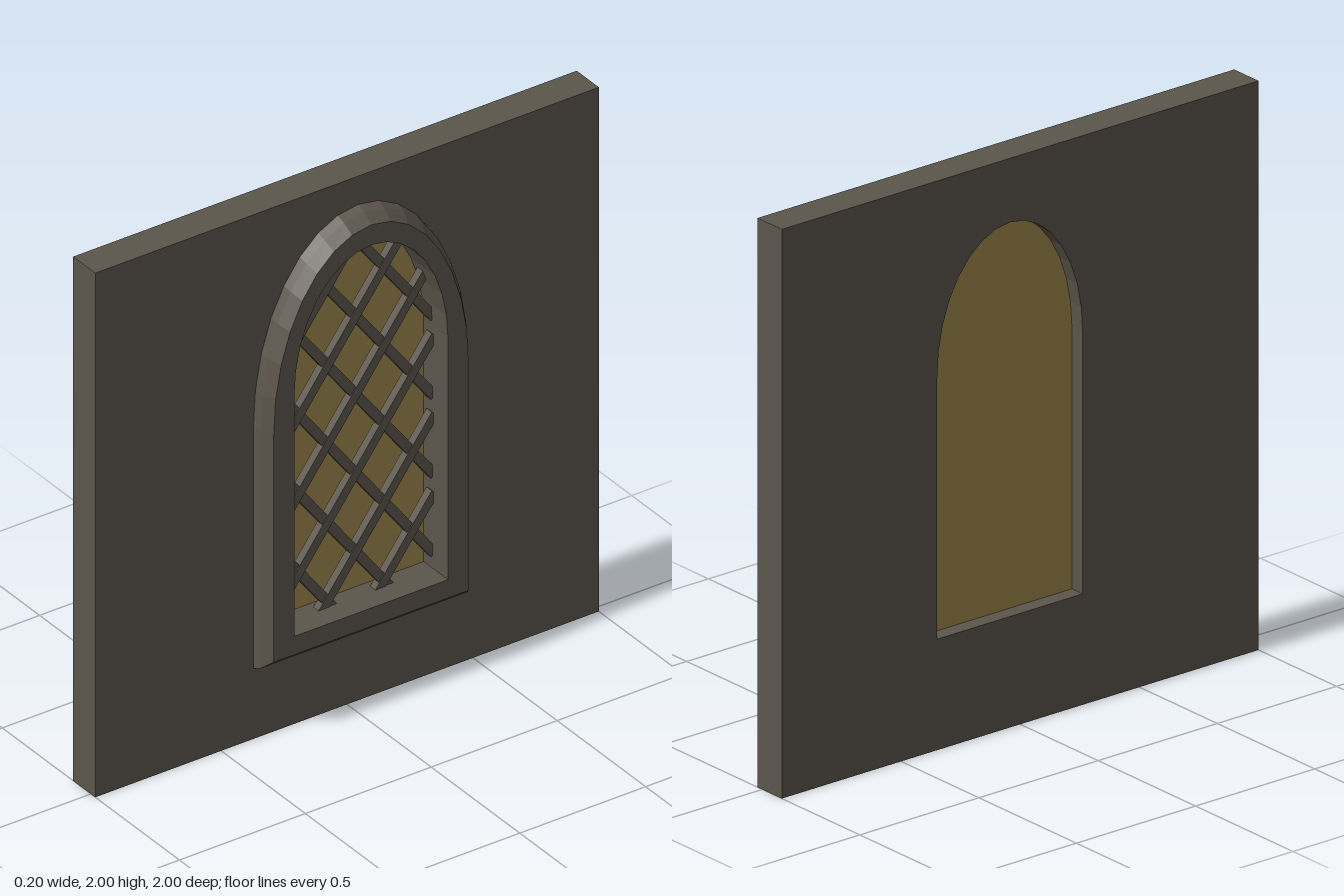
import * as THREE from 'three';

const CENTER = 0.043; // window axis, measured along -z
const WALL_BACK = -0.1, WALL_FRONT = 0.025, FRAME_FRONT = 0.1;
const ARC = 16;

// Closed counter-clockwise arch outline: straight jambs with an elliptical head
function arch(half, bottom, spring, top) {
  const pts = [new THREE.Vector2(CENTER - half, bottom), new THREE.Vector2(CENTER + half, bottom)];
  for (let i = 0; i <= ARC; i++) {
    const a = (Math.PI * i) / ARC;
    pts.push(new THREE.Vector2(CENTER + half * Math.cos(a), spring + (top - spring) * Math.sin(a)));
  }
  return pts;
}

const OPENING = { half: 0.305, bottom: 0.39, spring: 1.31, top: 1.775 };
const opening = arch(OPENING.half, OPENING.bottom, OPENING.spring, OPENING.top);

function insideOpening(u, v) {
  const { half, bottom, spring, top } = OPENING;
  const d = (u - CENTER) / half;
  if (v < bottom || Math.abs(d) > 1) return false;
  return v <= spring || d * d + ((v - spring) / (top - spring)) ** 2 <= 1;
}

// Skins consecutive outlines, each placed at its own depth
function loft(rings) {
  const pos = [], index = [], n = rings[0].pts.length;
  rings.forEach(({ pts, w }) => pts.forEach((p) => pos.push(p.x, p.y, w)));
  for (let r = 0; r < rings.length - 1; r++) {
    for (let j = 0; j < n; j++) {
      const a = r * n + j, b = r * n + ((j + 1) % n);
      index.push(a, b, b + n, a, b + n, a + n);
    }
  }
  const g = new THREE.BufferGeometry();
  g.setAttribute('position', new THREE.Float32BufferAttribute(pos, 3));
  g.setIndex(index);
  g.computeVertexNormals();
  return g;
}

export function createModel() {
  const stone = new THREE.MeshStandardMaterial({ color: 0x5c564c, flatShading: true });
  stone.name = 'stone';
  const amber = new THREE.MeshStandardMaterial({ color: 0xa0884c, flatShading: true });
  amber.name = 'amberGlass';

  const model = new THREE.Group();
  model.name = 'archedWindowWall';
  // Everything is drawn in a facing plane, then turned so it faces +x
  const facing = new THREE.Group();
  facing.name = 'facingPlane';
  facing.rotation.y = Math.PI / 2;
  model.add(facing);
  const add = (name, geometry, material, parent = facing) => {
    const mesh = new THREE.Mesh(geometry, material);
    mesh.name = name;
    parent.add(mesh);
    return mesh;
  };

  // Wall slab with the arched opening cut through
  const slab = new THREE.Shape([[-1, 0], [1, 0], [1, 2], [-1, 2]].map(([x, y]) => new THREE.Vector2(x, y)));
  slab.holes.push(new THREE.Path(opening));
  const wall = new THREE.ExtrudeGeometry(slab, { depth: WALL_FRONT - WALL_BACK, bevelEnabled: false });
  add('wall', wall.translate(0, 0, WALL_BACK), stone);

  // Raised surround with a chamfered outer edge
  add('windowFrame', loft([
    { pts: arch(0.415, 0.268, 1.19, 1.892), w: WALL_FRONT },
    { pts: arch(0.412, 0.285, 1.19, 1.882), w: 0.06 },
    { pts: arch(0.387, 0.32, 1.19, 1.852), w: FRAME_FRONT },
    { pts: opening, w: FRAME_FRONT },
    { pts: opening, w: WALL_FRONT },
  ]), stone);

  // Glass pane set midway in the wall
  const pane = new THREE.ExtrudeGeometry(new THREE.Shape(opening), { depth: 0.008, bevelEnabled: false });
  add('glassPane', pane.translate(0, 0, -0.045), amber);

  // Diagonal lattice, each bar trimmed to the opening
  const lattice = new THREE.Group();
  lattice.name = 'lattice';
  facing.add(lattice);
  const stepU = 0.225, stepV = 0.3, crossV = 1.762;
  const slope = stepV / stepU;
  for (const side of [-1, 1]) {
    for (let k = -8; k <= 3; k++) {
      const v0 = crossV + k * stepV;
      const line = (u) => v0 + side * slope * (u - CENTER);
      let u0 = Infinity, u1 = -Infinity;
      for (let u = CENTER - 0.31; u <= CENTER + 0.31; u += 0.001) {
        if (insideOpening(u, line(u))) {
          u0 = Math.min(u0, u);
          u1 = Math.max(u1, u);
        }
      }
      if (u1 - u0 < 0.005) continue;
      const length = Math.hypot(u1 - u0, line(u1) - line(u0)) + 0.03;
      const bar = add('latticeBar', new THREE.BoxGeometry(length, 0.034, 0.03), stone, lattice);
      bar.position.set((u0 + u1) / 2, (line(u0) + line(u1)) / 2, 0.002 * side);
      bar.rotation.z = Math.atan(side * slope);
    }
  }
  return model;
}
